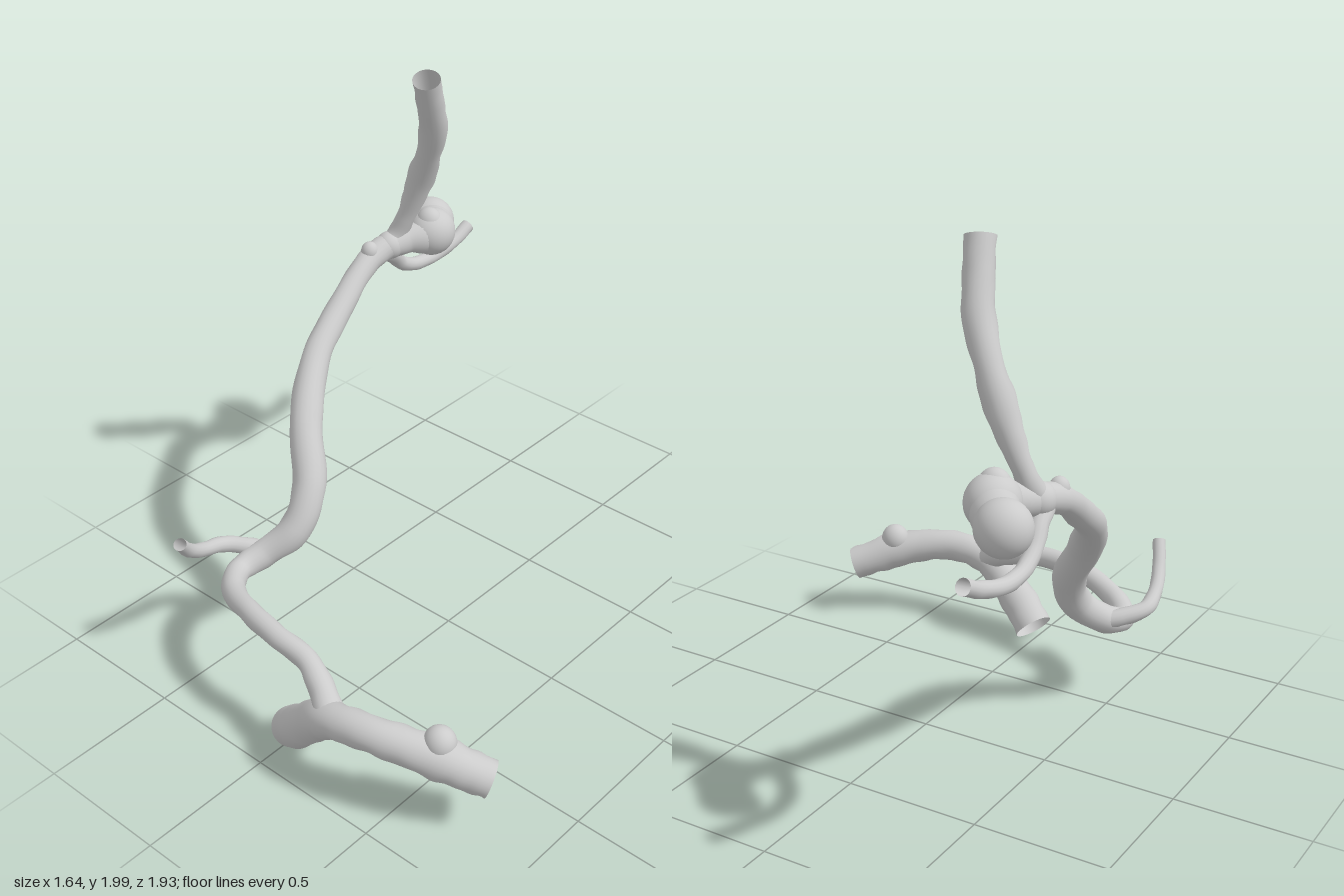
import * as THREE from 'three';

const material = new THREE.MeshStandardMaterial({ color: 0xcccccc, side: THREE.DoubleSide });

// Open tube through points [x, y, z, radius], with a slight organic unevenness
function vessel(name, points, sides = 20) {
  const curve = new THREE.CatmullRomCurve3(points.map(p => new THREE.Vector3(p[0], p[1], p[2])), false, 'centripetal');
  const rings = points.length * 9;
  const geometry = new THREE.TubeGeometry(curve, rings, 1, sides);
  const pos = geometry.attributes.position, nor = geometry.attributes.normal;
  const last = points.length - 1;
  for (let i = 0; i <= rings; i++) {
    const u = i / rings, s = curve.getUtoTmapping(u) * last;
    const k = Math.min(Math.floor(s), last - 1);
    const radius = THREE.MathUtils.lerp(points[k][3], points[k + 1][3], THREE.MathUtils.smoothstep(s - k, 0, 1));
    const centre = curve.getPointAt(u);
    for (let j = 0; j <= sides; j++) {
      const n = i * (sides + 1) + j, a = (j / sides) * Math.PI * 2;
      const r = radius * (1 + 0.025 * Math.sin(s * 5 + 2 * a) + 0.02 * Math.sin(s * 8.3 - a));
      pos.setXYZ(n, centre.x + nor.getX(n) * r, centre.y + nor.getY(n) * r, centre.z + nor.getZ(n) * r);
    }
  }
  const mesh = new THREE.Mesh(geometry, material);
  mesh.name = name;
  return mesh;
}

// Rounded swelling on a vessel wall
function bulge(name, [x, y, z], [rx, ry, rz]) {
  const mesh = new THREE.Mesh(new THREE.SphereGeometry(1, 28, 20), material);
  mesh.position.set(x, y, z);
  mesh.scale.set(rx, ry, rz);
  mesh.name = name;
  return mesh;
}

export function createModel() {
  const group = new THREE.Group();
  group.name = 'bloodVessels';

  // Long winding trunk, from the upper junction to the lower fork
  group.add(vessel('mainVessel', [
    [-0.68, 1.21, -0.51, 0.045], [-0.71, 1.19, -0.42, 0.05], [-0.715, 1.15, -0.33, 0.046],
    [-0.69, 1.05, -0.17, 0.05], [-0.65, 0.94, 0, 0.054], [-0.55, 0.78, 0.17, 0.062],
    [-0.43, 0.58, 0.29, 0.062], [-0.42, 0.45, 0.38, 0.06], [-0.49, 0.36, 0.48, 0.053],
    [-0.515, 0.33, 0.58, 0.046], [-0.43, 0.345, 0.69, 0.043], [-0.25, 0.385, 0.77, 0.04],
    [-0.08, 0.393, 0.805, 0.04], [0.06, 0.375, 0.81, 0.04], [0.17, 0.335, 0.85, 0.046], [0.26, 0.29, 0.9, 0.055],
  ]));

  // Upper outlet
  group.add(vessel('upperBranch', [
    [-0.705, 1.18, -0.45, 0.04], [-0.69, 1.24, -0.5, 0.04], [-0.665, 1.31, -0.52, 0.035],
    [-0.63, 1.4, -0.53, 0.044], [-0.59, 1.5, -0.53, 0.055], [-0.54, 1.61, -0.515, 0.047],
    [-0.48, 1.75, -0.475, 0.053], [-0.45, 1.87, -0.425, 0.05], [-0.43, 1.97, -0.385, 0.051],
  ]));

  // Wide pair of vessels at the lower fork
  group.add(vessel('lowerForkVessel', [
    [0, 0.055, 0.84, 0.075], [0.07, 0.12, 0.87, 0.075], [0.15, 0.2, 0.885, 0.072],
    [0.23, 0.27, 0.897, 0.067], [0.32, 0.3, 0.897, 0.062], [0.43, 0.31, 0.88, 0.062],
    [0.54, 0.298, 0.84, 0.066], [0.65, 0.27, 0.785, 0.075], [0.73, 0.235, 0.74, 0.068], [0.79, 0.21, 0.705, 0.066],
  ], 28));
  group.add(bulge('forkVesselBump', [0.635, 0.33, 0.78], [0.058, 0.062, 0.055]));

  // Thin side branches
  group.add(vessel('lowerSideBranch', [
    [-0.49, 0.36, 0.46, 0.035], [-0.55, 0.375, 0.5, 0.033], [-0.61, 0.395, 0.57, 0.03],
    [-0.605, 0.43, 0.67, 0.027], [-0.58, 0.485, 0.75, 0.026], [-0.545, 0.57, 0.82, 0.024],
  ], 14));
  group.add(vessel('backSideBranch', [
    [-0.705, 1.18, -0.45, 0.04], [-0.72, 1.13, -0.51, 0.032], [-0.735, 1.07, -0.57, 0.028],
    [-0.74, 1.032, -0.65, 0.027], [-0.735, 1.025, -0.75, 0.027], [-0.72, 1.055, -0.87, 0.027], [-0.715, 1.095, -0.955, 0.027],
  ], 14));

  // Two-lobed swelling behind the upper junction
  group.add(vessel('swellingNeck', [
    [-0.705, 1.19, -0.45, 0.045], [-0.67, 1.21, -0.53, 0.055], [-0.625, 1.22, -0.61, 0.08],
    [-0.665, 1.21, -0.68, 0.08], [-0.72, 1.2, -0.735, 0.08],
  ], 28));
  group.add(bulge('frontLobe', [-0.623, 1.225, -0.625], [0.09, 0.093, 0.095]));
  group.add(bulge('frontLobeCrown', [-0.62, 1.27, -0.61], [0.055, 0.06, 0.05]));
  group.add(bulge('backLobe', [-0.722, 1.2, -0.735], [0.093, 0.092, 0.088]));

  // Small bumps and the thickened upper junction
  group.add(bulge('trunkBump', [-0.715, 1.205, -0.37], [0.034, 0.04, 0.034]));
  group.add(bulge('upperJunction', [-0.7, 1.2, -0.47], [0.054, 0.055, 0.06]));

  return group;
}
